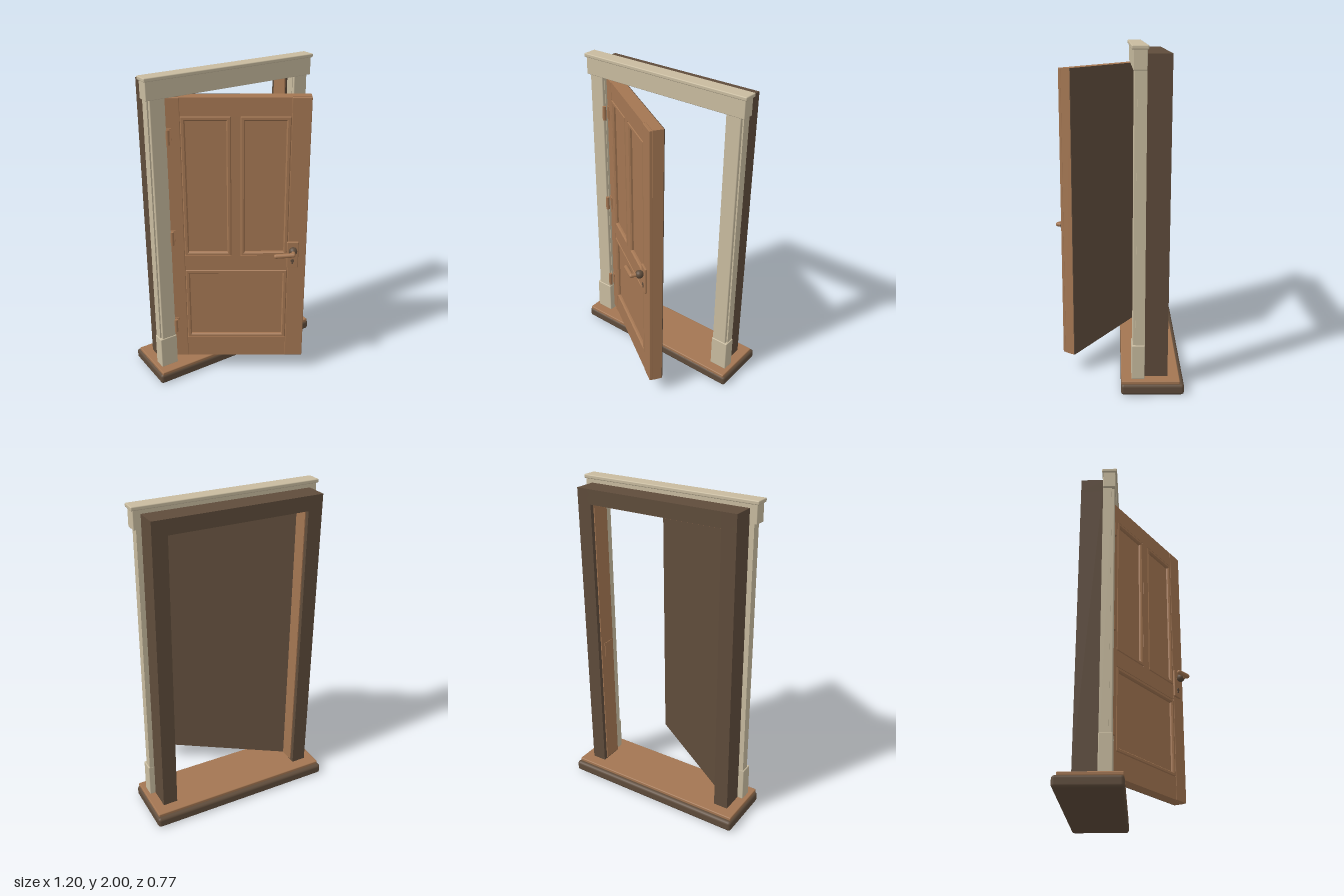
import * as THREE from 'three';
import { RoundedBoxGeometry } from 'three/addons/geometries/RoundedBoxGeometry.js';

const material = (name, color) => {
  const m = new THREE.MeshStandardMaterial({ color });
  m.name = name;
  return m;
};

export function createModel() {
  const wood = material('warm wood', 0xa37652);
  const dark = material('dark wood', 0x5f4c3b);
  const cream = material('cream paint', 0xc8bb9f);
  const model = new THREE.Group();
  model.name = 'openDoor';

  const add = (parent, name, geometry, mat) => {
    const mesh = new THREE.Mesh(geometry, mat);
    mesh.name = name;
    parent.add(mesh);
    return mesh;
  };
  // Box given by its limits on each axis, optionally with rounded edges
  const block = (parent, name, mat, [x0, x1], [y0, y1], [z0, z1], r = 0) => {
    const size = [x1 - x0, y1 - y0, z1 - z0];
    const g = r ? new RoundedBoxGeometry(...size, 2, r) : new THREE.BoxGeometry(...size);
    g.translate((x0 + x1) / 2, (y0 + y1) / 2, (z0 + z1) / 2);
    return add(parent, name, g, mat);
  };
  const cylinder = (parent, name, mat, r, length, pos, axis = 'y') => {
    const g = new THREE.CylinderGeometry(r, r, length, 20);
    if (axis === 'z') g.rotateX(Math.PI / 2);
    const mesh = add(parent, name, g, mat);
    mesh.position.set(...pos);
    return mesh;
  };

  // Threshold
  block(model, 'base', dark, [-0.6, 0.6], [0, 0.066], [-0.385, -0.015], 0.018);
  block(model, 'sill', wood, [-0.588, 0.588], [0.062, 0.085], [-0.36, -0.017], 0.006);

  // Frame posts, lining and casing on both sides
  const sides = (s, a, b) => (s > 0 ? [a, b] : [-b, -a]);
  for (const s of [1, -1]) {
    block(model, 'framePost', dark, sides(s, 0.433, 0.525), [0.085, 1.955], [-0.29, -0.15]);
    block(model, 'jambLining', wood, sides(s, 0.427, 0.446), [0.095, 1.862], [-0.265, -0.15]);
    block(model, 'casingPost', cream, sides(s, 0.45, 0.546), [0.085, 1.88], [-0.152, -0.082], 0.005);
    block(model, 'casingBackband', cream, sides(s, 0.447, 0.555), [0.085, 1.88], [-0.153, -0.1]);
    block(model, 'casingPlinth', cream, sides(s, 0.446, 0.562), [0.085, 0.297], [-0.154, -0.077], 0.005);
  }
  block(model, 'frameHead', dark, [-0.525, 0.525], [1.866, 1.955], [-0.29, -0.15]);
  block(model, 'headLining', wood, [-0.44, 0.44], [1.857, 1.87], [-0.265, -0.15]);
  block(model, 'casingHeader', cream, [-0.57, 0.57], [1.87, 1.98], [-0.153, -0.077], 0.004);
  block(model, 'casingCap', cream, [-0.58, 0.58], [1.977, 2], [-0.16, -0.068], 0.006);
  block(model, 'strikePlate', wood, [0.423, 0.43], [0.86, 0.955], [-0.235, -0.165]);

  // Door leaf, swung open; local x runs along the leaf and z = 0 is its front
  const door = new THREE.Group();
  door.name = 'door';
  door.position.set(-0.46, 0, -0.125);
  door.rotation.y = -THREE.MathUtils.degToRad(33);
  model.add(door);
  const bottom = 0.115, top = 1.865, width = 0.858;
  block(door, 'doorCore', wood, [0, width], [bottom, top], [-0.082, -0.02]);
  block(door, 'doorBack', dark, [0, width], [bottom, top], [-0.086, -0.082]);
  block(door, 'hingeStile', wood, [0, 0.107], [bottom, top], [-0.021, 0], 0.004);
  block(door, 'lockStile', wood, [0.745, width], [bottom, top], [-0.021, 0], 0.004);
  const rails = [[bottom, 0.255], [0.76, 0.86], [1.755, top]];
  for (const r of rails) block(door, 'rail', wood, [0.105, 0.747], r, [-0.021, -0.003]);
  block(door, 'mullion', wood, [0.398, 0.452], [0.85, 1.76], [-0.021, -0.003]);

  // Bevelled moulding around each sunken panel
  const moulding = (x0, x1, y0, y1) => {
    const loop = (i) => [[x0 + i, y0 + i], [x1 - i, y0 + i], [x1 - i, y1 - i], [x0 + i, y1 - i]]
      .map(([x, y]) => new THREE.Vector2(x, y));
    const shape = new THREE.Shape(loop(0.006));
    shape.holes.push(new THREE.Path(loop(0.02).reverse()));
    const g = new THREE.ExtrudeGeometry(shape, {
      depth: 0.012, bevelEnabled: true, bevelSize: 0.007, bevelThickness: 0.009, bevelSegments: 1,
    });
    add(door, 'panelMoulding', g, wood).position.z = -0.021;
  };
  moulding(0.107, 0.398, 0.86, 1.755);
  moulding(0.452, 0.745, 0.86, 1.755);
  moulding(0.107, 0.745, 0.255, 0.76);

  // Lever handle with its plate, rose and keyhole
  const handle = new THREE.Group();
  handle.name = 'handle';
  handle.position.set(0.775, 0.912, 0);
  door.add(handle);
  block(handle, 'handlePlate', wood, [-0.036, 0.036], [-0.13, 0.05], [-0.003, 0.013], 0.006);
  const rose = add(handle, 'rose', new THREE.SphereGeometry(0.026, 20, 14), dark);
  rose.position.z = 0.036;
  cylinder(handle, 'spindle', wood, 0.012, 0.085, [0, 0, 0.044], 'z');
  const lever = add(handle, 'lever', new THREE.CapsuleGeometry(0.014, 0.105, 6, 16), wood);
  lever.position.set(-0.054, -0.005, 0.086);
  lever.rotation.z = Math.PI / 2 + 0.08;
  cylinder(handle, 'keyhole', dark, 0.011, 0.008, [0, -0.078, 0.013], 'z');
  block(handle, 'keyholeSlot', dark, [-0.005, 0.005], [-0.1, -0.078], [0.01, 0.017]);

  // Hinges
  for (const y of [0.365, 0.995, 1.64]) {
    cylinder(model, 'hingeKnuckle', wood, 0.012, 0.09, [-0.444, y, -0.083]);
    block(door, 'hingeLeaf', wood, [0.01, 0.055], [y - 0.045, y + 0.045], [-0.002, 0.005]);
  }
  return model;
}
